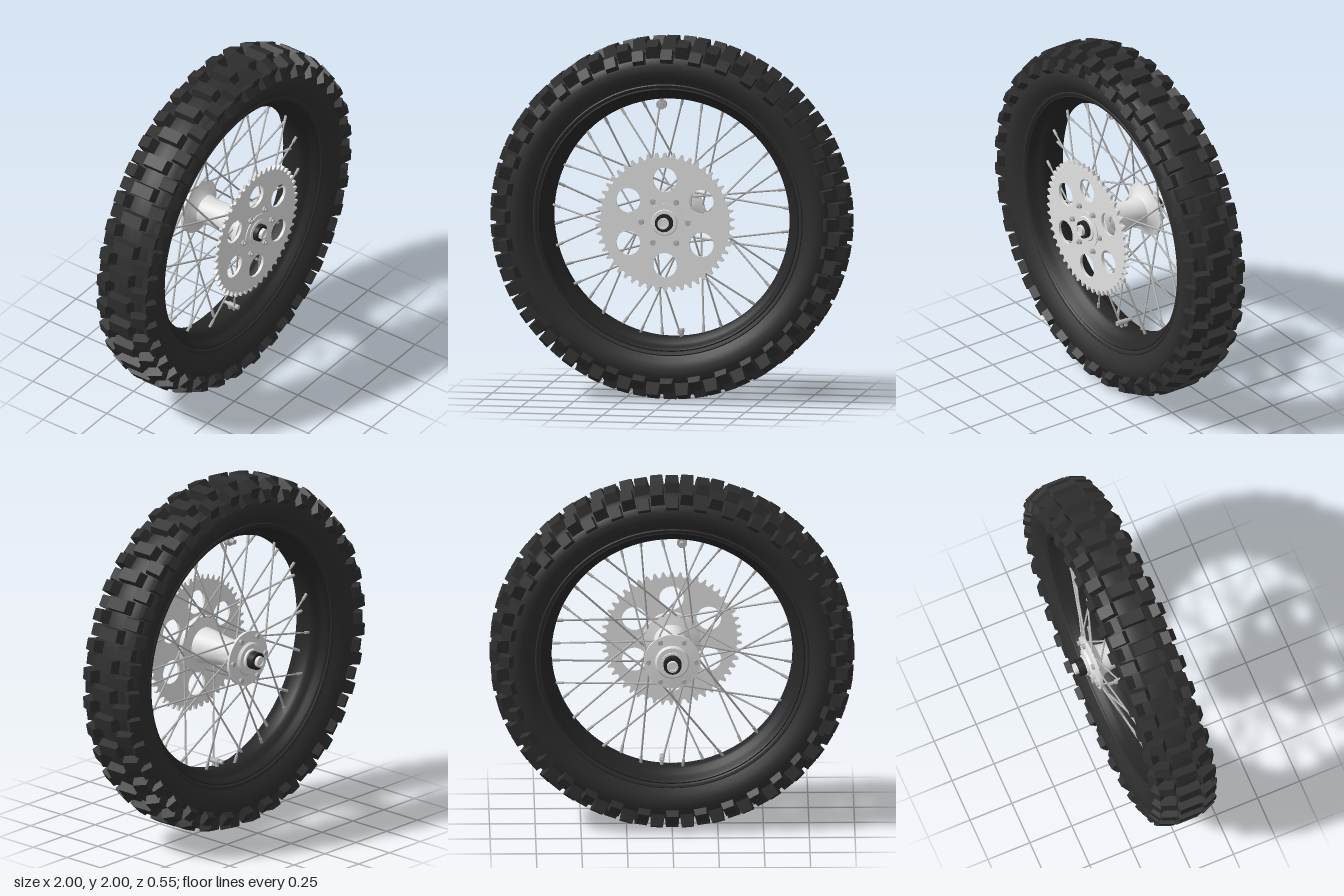
import * as THREE from 'three';
import { mergeGeometries, toCreasedNormals } from 'three/addons/utils/BufferGeometryUtils.js';

const mat = (name, color, side = THREE.FrontSide) => {
  const m = new THREE.MeshStandardMaterial({ color, side });
  m.name = name;
  return m;
};

// Solid of revolution about the z axis; points are [radius, z]
function turned(points, segments = 96, crease = 0.6) {
  const g = new THREE.LatheGeometry(points.map(([r, z]) => new THREE.Vector2(r, z)), segments);
  g.rotateX(Math.PI / 2);
  return toCreasedNormals(g, crease);
}

// Cylinder along z between two depths
function zCylinder(r, z0, z1, sides = 32, x = 0, y = 0) {
  const g = new THREE.CylinderGeometry(r, r, z1 - z0, sides);
  g.rotateX(Math.PI / 2);
  return g.translate(x, y, (z0 + z1) / 2);
}

// Cylinder between two points
function rod(a, b, r, sides = 6) {
  const dir = b.clone().sub(a);
  const g = new THREE.CylinderGeometry(r, r, dir.length(), sides);
  const q = new THREE.Quaternion().setFromUnitVectors(new THREE.Vector3(0, 1, 0), dir.clone().normalize());
  g.applyQuaternion(q);
  const m = a.clone().add(b).multiplyScalar(0.5);
  return g.translate(m.x, m.y, m.z);
}

// Tapered tread block, standing on the tyre at a tilt toward the side
function knob(height, length, width, r, z, tilt, angle) {
  const g = new THREE.BoxGeometry(height, length, width);
  const p = g.attributes.position;
  for (let i = 0; i < p.count; i++) {
    if (p.getX(i) > 0) p.setXYZ(i, p.getX(i), p.getY(i) * 0.85, p.getZ(i) * 0.84);
  }
  g.computeVertexNormals();
  return g.rotateY(-tilt).translate(r, 0, z).rotateZ(angle);
}

const polar = (r, a, z = 0) => new THREE.Vector3(r * Math.cos(a), r * Math.sin(a), z);

export function createModel() {
  const rubber = mat('tyre rubber', 0x2e2e2e);
  const black = mat('black rim', 0x262626, THREE.DoubleSide);
  const alloy = mat('light alloy', 0xe2e2e2);
  const steel = mat('spoke steel', 0xb6b6b6);

  const wheel = new THREE.Group();
  wheel.name = 'wheel';
  wheel.position.y = 1;
  const add = (name, geometry, material) => {
    const mesh = new THREE.Mesh(geometry, material);
    mesh.name = name;
    wheel.add(mesh);
  };
  const merged = (name, list, material) => add(name, mergeGeometries(list), material);

  // Tyre carcass, mirrored half profile from bead to crown
  const half = [[0.715, 0.1], [0.735, 0.128], [0.746, 0.132], [0.752, 0.128], [0.785, 0.15],
    [0.82, 0.165], [0.86, 0.166], [0.895, 0.15], [0.925, 0.116], [0.945, 0.07]];
  const carcass = [...half.map(([r, z]) => [r, -z]), [0.952, 0], ...half.slice().reverse()];
  add('tyre', turned(carcass, 120, 0.5), rubber);

  // Tread: centre and edge blocks alternate with shoulder pairs
  const blocks = [];
  const pitches = 36;
  for (let i = 0; i < pitches; i++) {
    const a = (i / pitches) * Math.PI * 2;
    const b = a + Math.PI / pitches;
    blocks.push(knob(0.06, 0.08, 0.15, 0.969, 0, 0, a));
    for (const s of [-1, 1]) {
      blocks.push(knob(0.07, 0.076, 0.1, 0.948, s * 0.112, s * 0.38, b));
      blocks.push(knob(0.06, 0.074, 0.075, 0.907, s * 0.152, s * 1.0, a));
    }
  }
  merged('treadBlocks', blocks, rubber);

  // Rim with rounded lips flaring from a narrow centre well
  add('rim', turned([[0.735, 0.1], [0.735, 0.118], [0.722, 0.122], [0.712, 0.112], [0.705, 0.085],
    [0.69, 0.068], [0.668, 0.05], [0.66, 0.03], [0.66, -0.03], [0.668, -0.05], [0.69, -0.068],
    [0.705, -0.085], [0.712, -0.112], [0.722, -0.122], [0.735, -0.118], [0.735, -0.1]]), black);

  // Hub barrel with two flanges
  add('hub', turned([[0, -0.2], [0.085, -0.2], [0.095, -0.185], [0.155, -0.18], [0.155, -0.163],
    [0.115, -0.152], [0.085, -0.125], [0.075, -0.07], [0.08, 0.0], [0.092, 0.08], [0.1, 0.15],
    [0.16, 0.163], [0.16, 0.19], [0.13, 0.203], [0, 0.203]], 48), alloy);

  // Toothed sprocket with six lightening holes
  const outline = [];
  const teeth = 50;
  for (let i = 0; i < teeth; i++) {
    for (const [f, r] of [[0, 0.357], [0.22, 0.36], [0.42, 0.386], [0.62, 0.386], [0.82, 0.36]]) {
      const v = polar(r, ((i + f) / teeth) * Math.PI * 2);
      outline.push(new THREE.Vector2(v.x, v.y));
    }
  }
  const shape = new THREE.Shape(outline);
  for (let i = 0; i < 6; i++) {
    const c = polar(0.236, Math.PI / 6 + (i * Math.PI) / 3);
    const hole = new THREE.Path();
    hole.absarc(c.x, c.y, 0.067, 0, Math.PI * 2, true);
    shape.holes.push(hole);
  }
  const plate = new THREE.ExtrudeGeometry(shape, { depth: 0.016, bevelEnabled: false, curveSegments: 24 });
  add('sprocket', plate.translate(0, 0, 0.204), alloy);
  add('sprocketCollar', turned([[0, 0.2], [0.105, 0.2], [0.105, 0.225], [0.072, 0.225],
    [0.068, 0.23], [0, 0.23]], 48, 0.4), alloy);

  // Flange bolts on both sides
  const bolts = [];
  for (let i = 0; i < 6; i++) {
    const p = polar(0.13, (i * Math.PI) / 3);
    bolts.push(zCylinder(0.017, 0.215, 0.233, 6, p.x, p.y), zCylinder(0.009, 0.23, 0.243, 10, p.x, p.y));
    bolts.push(zCylinder(0.015, -0.197, -0.175, 6, p.x, p.y));
  }
  merged('flangeBolts', bolts, steel);

  // Axle, bearing seals and spacer
  merged('bearingSeals', [zCylinder(0.049, 0.22, 0.255), zCylinder(0.049, -0.255, -0.212)], black);
  merged('spacer', [zCylinder(0.06, -0.214, -0.195)], alloy);
  add('axle', turned([[0, -0.27], [0.018, -0.27], [0.02, -0.275], [0.031, -0.275], [0.031, 0.275],
    [0.02, 0.275], [0.018, 0.27], [0, 0.27]], 24), alloy);

  // Crossed spokes and their nipples
  const spokes = [];
  const nipples = [];
  for (let i = 0; i < 36; i++) {
    const side = i % 2 ? 1 : -1;
    const lean = i % 4 < 2 ? 1 : -1;
    const a = ((i + 0.5) / 36) * Math.PI * 2;
    const hubEnd = polar(0.138, a + lean * 0.95, side * 0.171);
    const rimEnd = polar(0.665, a, side * 0.025);
    spokes.push(rod(hubEnd, rimEnd, 0.0055));
    nipples.push(rod(hubEnd.clone().lerp(rimEnd, 0.92), rimEnd, 0.0085));
  }
  merged('spokes', spokes, steel);
  merged('spokeNipples', nipples, steel);

  // Rim lock near the top, valve near the bottom
  merged('rimLock', [zCylinder(0.028, 0.0, 0.03, 16, -0.055, 0.625), zCylinder(0.014, -0.03, 0.045, 12, -0.055, 0.625),
    rod(new THREE.Vector3(-0.055, 0.625, 0.01), new THREE.Vector3(-0.058, 0.665, 0.01), 0.012, 10)], steel);
  merged('valve', [zCylinder(0.014, -0.01, 0.06, 12, 0.055, -0.627), zCylinder(0.009, -0.04, 0.0, 10, 0.055, -0.627),
    rod(new THREE.Vector3(0.055, -0.627, 0), new THREE.Vector3(0.058, -0.665, 0), 0.01, 10)], steel);

  const model = new THREE.Group();
  model.name = 'spokedWheel';
  model.add(wheel);
  return model;
}
